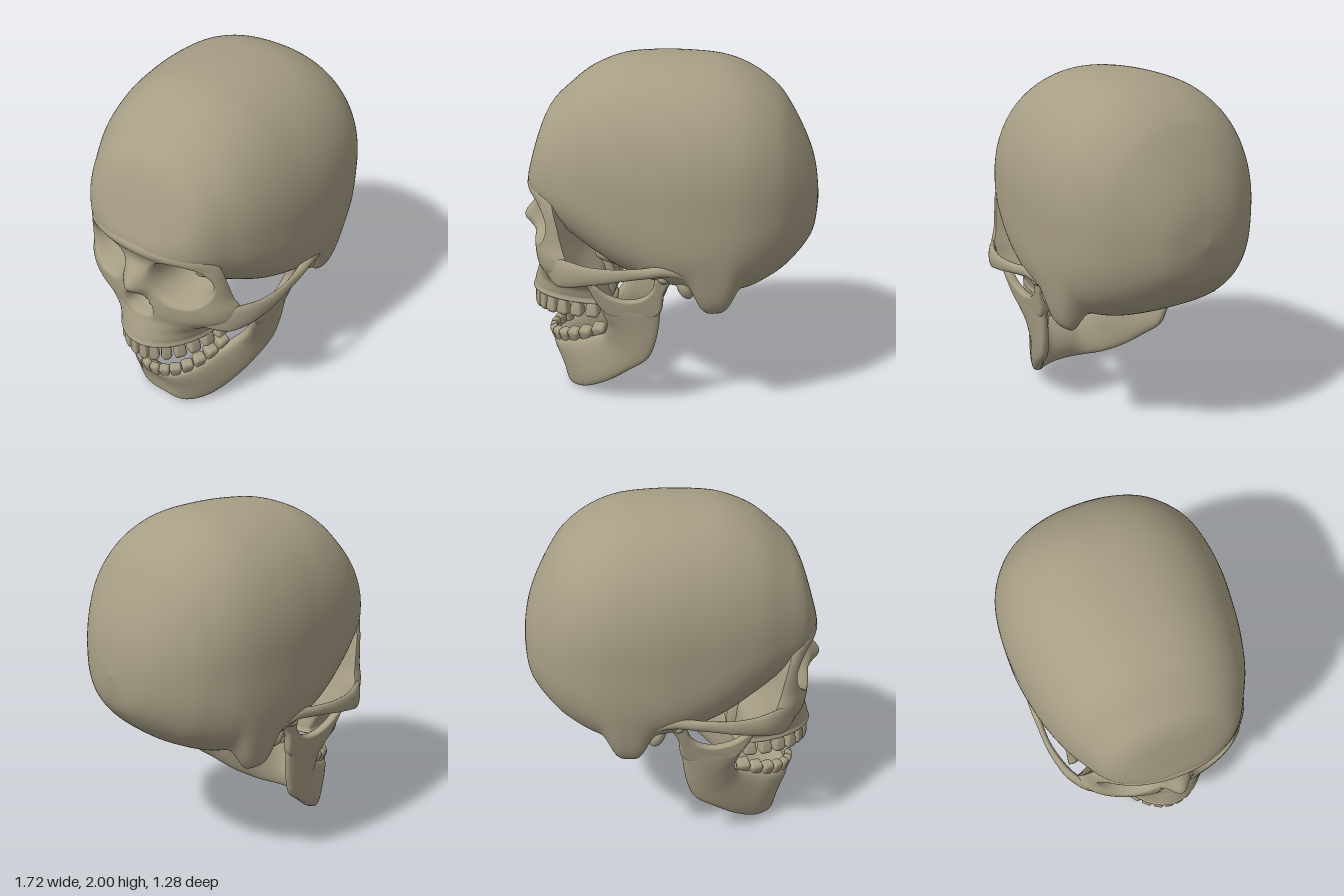
import * as THREE from 'three';
import { mergeVertices } from 'three/addons/utils/BufferGeometryUtils.js';
import { RoundedBoxGeometry } from 'three/addons/geometries/RoundedBoxGeometry.js';

const bone = new THREE.MeshStandardMaterial({ color: 0xa69d84, side: THREE.DoubleSide });
bone.name = 'bone';

const { smoothstep, lerp } = THREE.MathUtils;
const spow = (v, p) => Math.sign(v) * Math.pow(Math.abs(v), p);
const bump = (u, v) => Math.exp(-u * u - v * v);

// Smooth interpolation through a table of section rows, t in 0..1
function rowAt(rows, t) {
  const f = t * (rows.length - 1), i = Math.min(Math.floor(f), rows.length - 2), k = f - i;
  const at = j => rows[Math.max(0, Math.min(rows.length - 1, j))];
  return rows[i].map((b, c) => {
    const a = at(i - 1)[c], d = at(i + 1)[c], e = at(i + 2)[c];
    return b + 0.5 * k * (d - a + k * (2 * a - 5 * b + 4 * d - e + k * (3 * (b - d) + e - a)));
  });
}

function smooth(geo) {
  geo.deleteAttribute('uv');
  geo.deleteAttribute('normal');
  const g = mergeVertices(geo, 1e-4);
  g.computeVertexNormals();
  return g;
}

// Surface from closed rings: fn(angle, t) gives a point
function loft(nu, nv, fn) {
  const pos = [], idx = [];
  for (let j = 0; j <= nv; j++)
    for (let i = 0; i <= nu; i++) pos.push(...fn((i % nu) / nu * Math.PI * 2, j / nv));
  for (let j = 0; j < nv; j++)
    for (let i = 0; i < nu; i++) {
      const a = j * (nu + 1) + i, b = a + nu + 1;
      idx.push(a, a + 1, b, a + 1, b + 1, b);
    }
  const g = new THREE.BufferGeometry();
  g.setAttribute('position', new THREE.Float32BufferAttribute(pos, 3));
  g.setIndex(idx);
  return smooth(g);
}

// How far a point lies inside an eye socket, 0..1
const socket = (y, z) =>
  1 - smoothstep(Math.hypot((y - 1.09) / 0.155, (Math.abs(z) - 0.25) / 0.175), 0.5, 1.03);

// Braincase rows: x, top, bottom, widest height, half width
const craniumRows = [
  [-0.805, 1.29, 1.29, 1.29, 0], [-0.797, 1.34, 1.26, 1.29, 0.13], [-0.772, 1.42, 1.235, 1.3, 0.235],
  [-0.735, 1.54, 1.2, 1.31, 0.32], [-0.695, 1.65, 1.15, 1.32, 0.372], [-0.65, 1.73, 1.09, 1.32, 0.41],
  [-0.58, 1.8, 1.02, 1.32, 0.452], [-0.44, 1.91, 0.92, 1.32, 0.525], [-0.27, 1.98, 0.83, 1.3, 0.58],
  [-0.1, 2.0, 0.785, 1.3, 0.613], [0.1, 2.0, 0.76, 1.3, 0.637], [0.3, 1.98, 0.735, 1.3, 0.63],
  [0.46, 1.92, 0.73, 1.3, 0.595], [0.6, 1.82, 0.78, 1.27, 0.52], [0.69, 1.7, 0.84, 1.24, 0.435],
  [0.78, 1.53, 0.935, 1.21, 0.31], [0.83, 1.38, 1.03, 1.19, 0.19], [0.855, 1.19, 1.19, 1.19, 0],
];
function craniumPoint(a, t) {
  const [x, top, bottom, mid, w] = rowAt(craniumRows, t);
  const c = Math.cos(a), s = Math.sin(a);
  const n = s > 0 ? 2.25 : 2.4 + 2.1 * bump((x - 0.15) / 0.38, 0);
  const z = w * spow(c, 2 / n);
  let y = mid + (s > 0 ? top - mid : mid - bottom) * spow(s, 2 / n);
  if (s < 0) {
    const low = 1 - smoothstep(y, 0.8, 1.1), az = Math.abs(z);
    y -= low * 0.145 * bump(((x - 0.29) / 0.11) ** 2, ((az - 0.53) / 0.075) ** 2); // mastoid
    y -= low * 0.1 * bump((x - 0.2) / 0.13, (az - 0.21) / 0.09); // neck joint
  }
  return [x < -0.54 ? lerp(x, -0.54, socket(y, z)) : x, y, z];
}

// Face rows: y, front x, half width, side x, back depth, back pinch
const faceRows = [
  [1.4, -0.715, 0.28, -0.6, 0.2, 1], [1.29, -0.812, 0.385, -0.62, 0.2, 1.4],
  [1.2, -0.775, 0.435, -0.6, 0.22, 2], [1.1, -0.768, 0.457, -0.575, 0.25, 2.4],
  [1.0, -0.775, 0.475, -0.55, 0.26, 2.6], [0.92, -0.78, 0.505, -0.52, 0.26, 2.8],
  [0.84, -0.775, 0.497, -0.5, 0.22, 2.2], [0.77, -0.77, 0.42, -0.47, 0.15, 1.3],
  [0.7, -0.792, 0.335, -0.41, 0.08, 1], [0.63, -0.812, 0.305, -0.38, 0.06, 0.9],
  [0.59, -0.805, 0.285, -0.38, 0.05, 0.9], [0.62, -0.6, 0.02, -0.58, 0.02, 1],
];
function facePoint(a, t) {
  const [y, xf, w, xb, d, p] = rowAt(faceRows, t);
  const c = Math.cos(a), s = Math.sin(a);
  if (c < 0) return [xb + d * Math.pow(-c, p), y, w * spow(s, p)];
  const z = w * s, front = smoothstep(c, 0, 0.3);
  let x = xb + (xf - xb) * c;
  // Eye sockets, kept in front of the rear wall
  const inner = Math.pow(Math.abs(s), 1 / p);
  const rear = xb + d * Math.pow(Math.sqrt(Math.max(0, 1 - inner * inner)), p);
  x = Math.max(x, Math.min(x + 0.21 * socket(y, z) * front, rear - 0.02));
  // Nasal bridge and opening
  const ridge = y > 1.03 ? 1 - smoothstep(y, 1.03, 1.18) : smoothstep(y, 0.92, 1.03);
  x -= 0.088 * ridge * bump(z / 0.07, 0);
  const nose = Math.hypot((y - 0.875) / 0.1, z / (0.055 + 0.35 * Math.max(0, 0.97 - y)));
  if (y > 0.75) x += 0.09 * (1 - smoothstep(nose, 0.6, 1.05));
  return [x, y, z];
}

// Cheek arch rows: x, y, z, vertical radius, lateral radius
const archRows = [
  [-0.7, 0.86, 0.29, 0.04, 0.02], [-0.6, 0.852, 0.452, 0.082, 0.025], [-0.5, 0.865, 0.53, 0.076, 0.027],
  [-0.4, 0.873, 0.568, 0.056, 0.023], [-0.28, 0.886, 0.592, 0.042, 0.018], [-0.17, 0.9, 0.596, 0.033, 0.018],
  [-0.07, 0.912, 0.592, 0.03, 0.025], [0.03, 0.925, 0.58, 0.034, 0.033], [0.12, 0.905, 0.565, 0.03, 0.036],
  [0.18, 0.84, 0.53, 0.02, 0.03],
];

// Jaw rows from chin to branch: lower or rear edge xyz, upper or front edge xyz, half thickness
const jawHalf = [
  [-0.59, 0.005, 0, -0.69, 0.285, 0, 0.042], [-0.57, 0.005, 0.14, -0.665, 0.29, 0.12, 0.045],
  [-0.47, 0.04, 0.25, -0.575, 0.32, 0.21, 0.045], [-0.33, 0.125, 0.335, -0.45, 0.37, 0.27, 0.045],
  [-0.2, 0.23, 0.395, -0.355, 0.425, 0.33, 0.043], [-0.09, 0.32, 0.425, -0.325, 0.48, 0.38, 0.04],
  [-0.045, 0.42, 0.44, -0.315, 0.54, 0.415, 0.036], [-0.022, 0.53, 0.45, -0.325, 0.58, 0.44, 0.033],
  [-0.012, 0.615, 0.46, -0.338, 0.63, 0.46, 0.029], [-0.005, 0.67, 0.469, -0.346, 0.67, 0.469, 0.022],
];
const jawRows = [
  ...jawHalf.slice(1).reverse().map(([a, b, c, d, e, f, g]) => [a, b, -c, d, e, -f, g]), ...jawHalf,
];
function jawPoint(a, t) {
  const r = rowAt(jawRows, t);
  const p = rowAt(jawRows, Math.max(0, t - 0.01)), q = rowAt(jawRows, Math.min(1, t + 0.01));
  const mid = v => new THREE.Vector3(v[0] + v[3], v[1] + v[4], v[2] + v[5]);
  const low = new THREE.Vector3(r[0], r[1], r[2]), high = new THREE.Vector3(r[3], r[4], r[5]);
  const out = mid(q).sub(mid(p)).cross(high.clone().sub(low)).normalize();
  const k = 0.5 - 0.5 * spow(Math.cos(a), 0.85);
  const point = low.lerp(high, k).addScaledVector(out, r[6] * spow(Math.sin(a), 0.65));
  point.x += 0.04 * Math.sin(Math.PI * k) * bump(r[2] / 0.2, 0); // hollow above the chin
  return point.toArray();
}

// Top of the jaw branch with its notch, leaning outward
function notchGeometry(side) {
  const outline = [[-0.05, 0.6], [-0.005, 0.64], [0.015, 0.76], [0.06, 0.85],
    [0.04, 0.89], [0, 0.895], [-0.03, 0.86], [-0.05, 0.78], [-0.1, 0.725], [-0.19, 0.7], [-0.3, 0.73],
    [-0.385, 0.8], [-0.42, 0.815], [-0.4, 0.76], [-0.35, 0.66], [-0.29, 0.6]];
  const curve = new THREE.CatmullRomCurve3(outline.map(([x, y]) => new THREE.Vector3(x, y, 0)), true);
  const shape = new THREE.Shape(curve.getPoints(80).slice(0, -1).map(v => new THREE.Vector2(v.x, v.y)));
  const g = new THREE.ExtrudeGeometry(shape, {
    depth: 0.014, bevelThickness: 0.02, bevelSize: 0.016, bevelOffset: -0.016, bevelSegments: 3,
  });
  const p = g.attributes.position;
  for (let i = 0; i < p.count; i++)
    p.setZ(i, side * (p.getZ(i) + 0.467 + (p.getY(i) - 0.7) * 0.17));
  return smooth(g);
}

// Tooth narrowing toward the gum; dir is -1 for upper, 1 for lower
function toothGeometry(dir, point) {
  const g = new RoundedBoxGeometry(1, 1, 1, 2, 0.25);
  const p = g.attributes.position;
  for (let i = 0; i < p.count; i++) {
    const crown = p.getY(i) * dir + 0.5;
    const k = 0.68 + 0.5 * smoothstep(crown, 0, 0.6) - point * smoothstep(crown, 0.55, 1);
    p.setX(i, p.getX(i) * k);
    p.setZ(i, p.getZ(i) * k);
  }
  return smooth(g);
}

export function createModel() {
  const skull = new THREE.Group();
  skull.name = 'skull';
  const add = (name, geo) => {
    const m = new THREE.Mesh(geo, bone);
    m.name = name;
    skull.add(m);
    return m;
  };
  const ball = new THREE.SphereGeometry(1, 24, 16);
  const lump = (name, pos, size, tilt = 0) => {
    const m = add(name, ball);
    m.position.set(...pos);
    m.scale.set(...size);
    m.rotation.z = tilt;
  };

  add('cranium', loft(120, 150, craniumPoint));
  add('face', loft(160, 110, facePoint));
  add('jaw', loft(28, 120, jawPoint));
  lump('skullBase', [-0.22, 0.87, 0], [0.27, 0.09, 0.3]);

  for (const s of [-1, 1]) {
    add('cheekArch', loft(16, 54, (a, t) => {
      const [x, y, z, ry, rz] = rowAt(archRows, t);
      return [x, y + ry * Math.sin(a), s * (z + rz * Math.cos(a))];
    }));
    add('jawNotch', notchGeometry(s));
    lump('jawJoint', [0.015, 0.86, s * 0.49], [0.042, 0.04, 0.07]);
    lump('earRidge', [0.13, 0.81, s * 0.5], [0.045, 0.075, 0.06], 0.4);
    lump('pterygoidPlate', [-0.37, 0.73, s * 0.17], [0.07, 0.15, 0.035], 0.2);
  }

  // Two arches of teeth
  const arches = [
    { name: 'upperTooth', dir: -1, cx: -0.34, rx: 0.455, rz: 0.285 },
    { name: 'lowerTooth', dir: 1, cx: -0.32, rx: 0.385, rz: 0.27 },
  ];
  for (const { name, dir, cx, rx, rz } of arches) {
    const incisor = toothGeometry(dir, dir < 0 ? 0.4 : 0.1), molar = toothGeometry(dir, 0.12);
    for (const s of [-1, 1])
      for (let i = 0; i < 7; i++) {
        const a = (i + 0.5) / 7 * 1.5, back = i / 6;
        const x = cx - rx * Math.cos(a), z = s * rz * Math.sin(a);
        const h = dir < 0 ? lerp(0.14, 0.1, back) : 0.1;
        const gum = dir < 0 ? 0.61 : 0.245 + (x + 0.7) * 0.36;
        const m = add(name, i < 3 ? incisor : molar);
        m.position.set(x, gum + dir * h / 2, z);
        m.scale.set(lerp(0.04, 0.075, back), h, lerp(0.055, 0.072, back));
        m.rotation.y = s * Math.atan2(rx * Math.sin(a), rz * Math.cos(a));
        m.rotation.z = dir > 0 ? 0.2 : 0;
      }
  }
  return skull;
}
